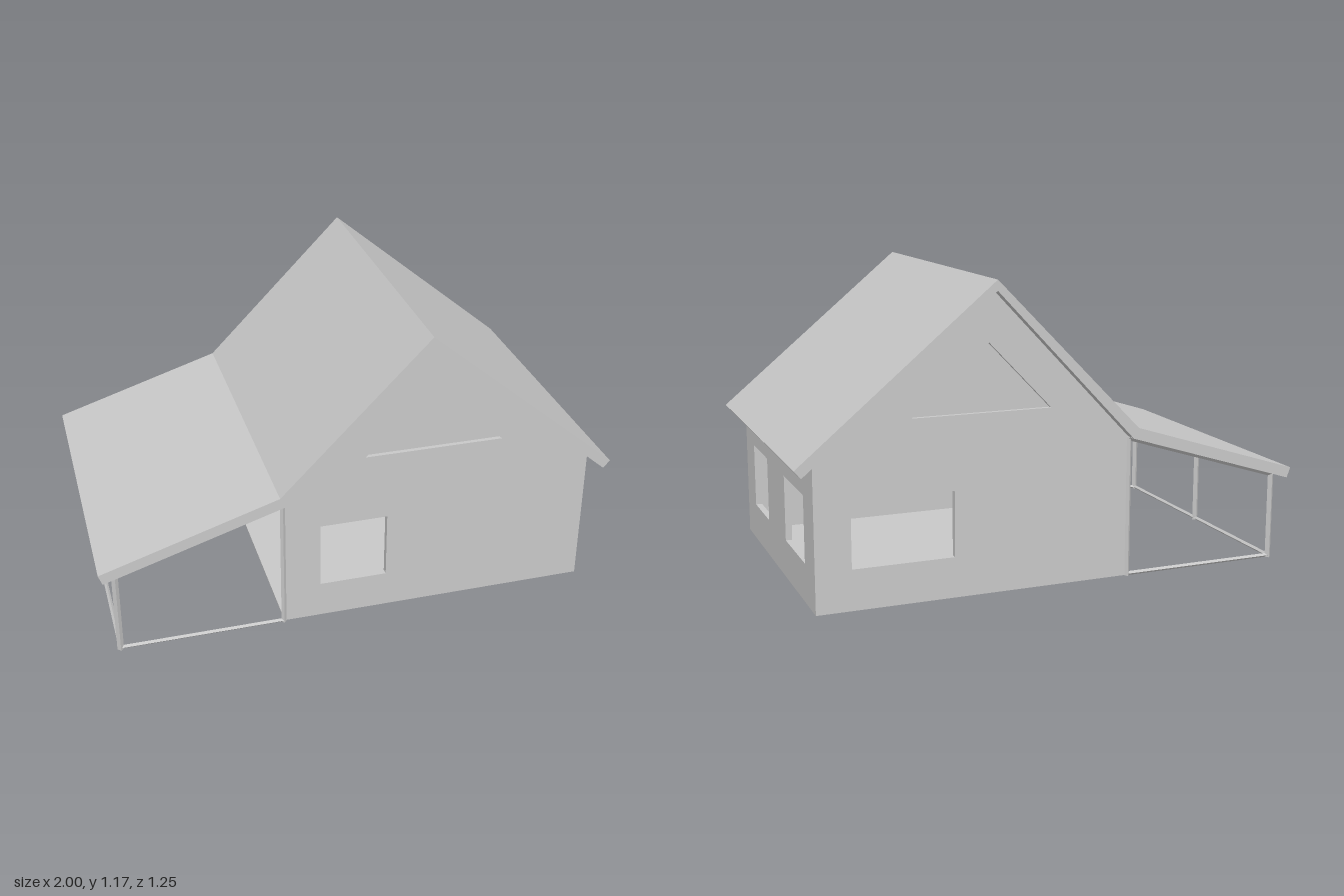
import * as THREE from 'three';

export function createModel() {
  const model = new THREE.Group();
  const grey = new THREE.MeshStandardMaterial({ color: 0xc8c8c8, flatShading: true });
  grey.name = 'light grey';

  const WALL = 0.025, Z = 0.575, ROOF_Z = 0.6225;
  const LEFT = -0.3, RIGHT = 0.925, PORCH = -0.9375;

  const add = (name, geometry, x = 0, y = 0, z = 0, parent = model) => {
    const mesh = new THREE.Mesh(geometry, grey);
    mesh.name = name;
    mesh.position.set(x, y, z);
    parent.add(mesh);
    return mesh;
  };
  const points = (list) => list.map(([x, y]) => new THREE.Vector2(x, y));
  const rect = (x0, x1, y0, y1) => [[x0, y0], [x1, y0], [x1, y1], [x0, y1]];
  // Flat slab with cut-outs
  const slab = (outline, holes, depth) => {
    const shape = new THREE.Shape(points(outline));
    holes.forEach((h) => shape.holes.push(new THREE.Path(points(h))));
    return new THREE.ExtrudeGeometry(shape, { depth, bevelEnabled: false });
  };

  // Folded roof: porch slope, steep slope, right slope
  add('roof', slab([
    [-0.985, 0.335], [-0.3, 0.55], [0.25, 1.13], [0.975, 0.515],
    [1, 0.545], [0.25, 1.17], [-0.32, 0.59], [-1, 0.375],
  ], [], ROOF_Z * 2), 0, 0, -ROOF_Z);

  // Gable walls, each with one window and a recessed triangular panel
  const gable = [[LEFT, 0], [RIGHT, 0], [RIGHT, 0.557], [0.25, 1.13], [LEFT, 0.55]];
  const triangle = [[0.02, 0.685], [0.56, 0.685], [0.265, 0.94]];
  const gableWindows = { front: rect(-0.155, 0.11, 0.145, 0.41), back: rect(0.4, 0.79, 0.155, 0.405) };
  for (const [side, s] of [['front', 1], ['back', -1]]) {
    add(side + 'GableWall', slab(gable, [gableWindows[side], triangle], WALL),
      0, 0, s > 0 ? Z - WALL : -Z);
    add(side + 'GablePanel', slab(triangle, [], 0.008), 0, 0, s > 0 ? Z - WALL : -Z + WALL - 0.008);
  }

  // Right wall with two windows (shape x runs towards -z)
  const sideWall = add('rightWall', slab(
    rect(-Z + WALL, Z - WALL, 0, 0.555),
    [rect(-0.425, -0.17, 0.15, 0.405), rect(0.125, 0.43, 0.15, 0.405)], WALL), RIGHT - WALL);
  sideWall.rotation.y = Math.PI / 2;

  // Floor of the house; the side towards the porch is open
  add('floor', new THREE.BoxGeometry(RIGHT - LEFT - WALL, 0.006, 2 * (Z - WALL)),
    (LEFT + RIGHT - WALL) / 2, 0.003, 0);

  // Porch frame of slim four-sided bars
  const frame = new THREE.Group();
  frame.name = 'porchFrame';
  model.add(frame);
  const bar = (name, a, b, r = 0.0125) => {
    const from = new THREE.Vector3(...a), to = new THREE.Vector3(...b);
    const dir = to.clone().sub(from);
    const mesh = add(name, new THREE.CylinderGeometry(r, r, dir.length(), 4), 0, 0, 0, frame);
    mesh.position.copy(from).add(to).multiplyScalar(0.5);
    mesh.quaternion.setFromUnitVectors(new THREE.Vector3(0, 1, 0), dir.normalize());
  };
  const zb = 0.58;
  for (const z of [-zb, zb]) {
    bar('cornerPost', [PORCH, 0, z], [PORCH, 0.345, z]);
    bar('housePost', [LEFT - 0.002, 0, z], [LEFT - 0.002, 0.55, z], 0.01);
    bar('baseBar', [PORCH, 0.008, z], [LEFT, 0.008, z], 0.008);
    bar('rafter', [PORCH, 0.348, z], [LEFT, 0.548, z]);
  }
  bar('middlePost', [PORCH, 0, 0], [PORCH, 0.345, 0]);
  bar('sideBaseBar', [PORCH, 0.008, -zb], [PORCH, 0.008, zb], 0.008);
  bar('eaveBar', [PORCH, 0.349, -zb], [PORCH, 0.349, zb], 0.01);

  return model;
}
